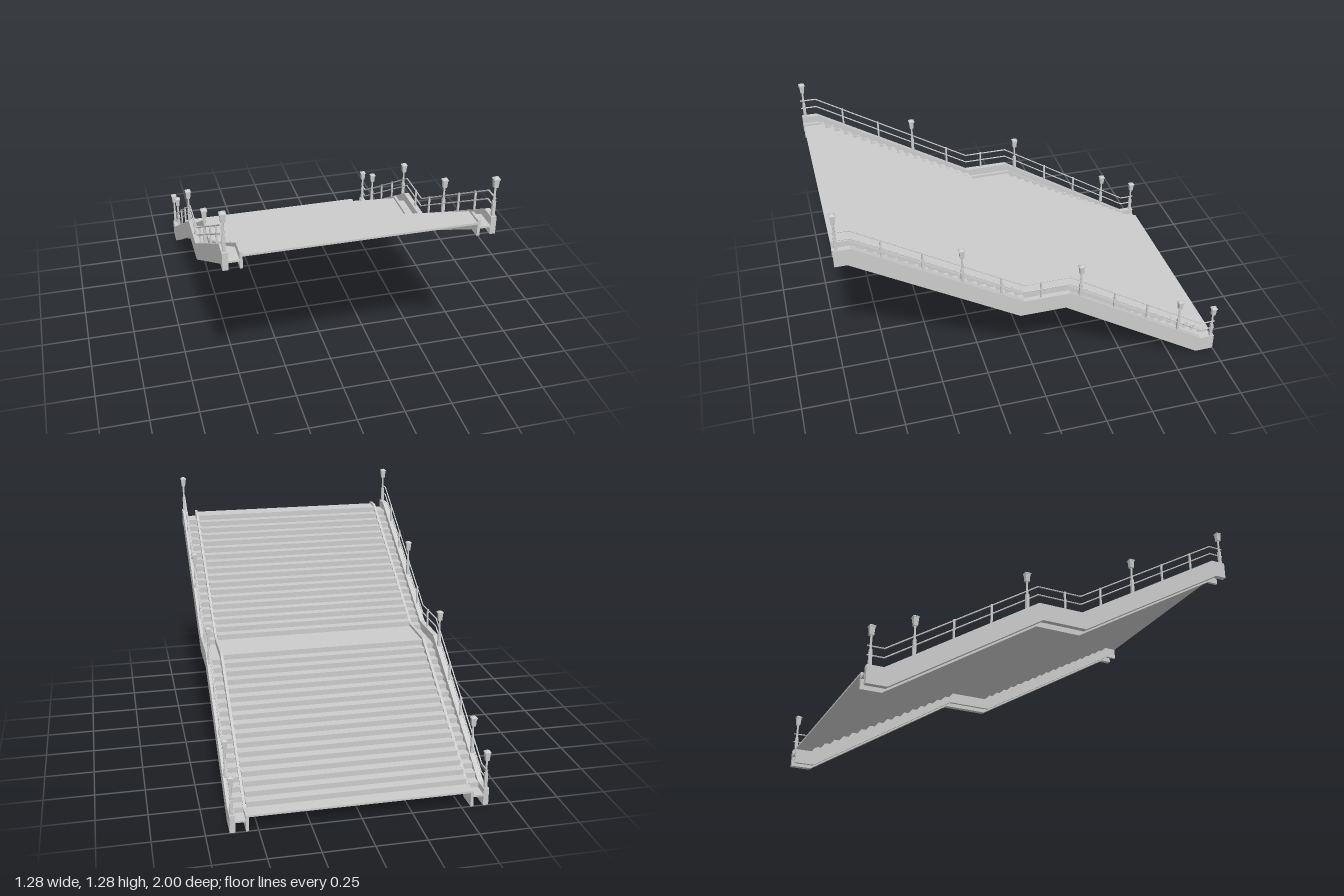
import * as THREE from 'three';

const grey = new THREE.MeshStandardMaterial({ color: 0xcccccc, flatShading: true });

// Top edge of the stringers, as [z, y], from the high front end to the low back end
const TOP = [[1, 1.08], [0.92, 1.08], [0.09, 0.58], [-0.15, 0.58], [-0.92, 0.09], [-1, 0.09]];
const BOTTOM = [[-1, 0], [-0.9, 0], [-0.13, 0.49], [0.11, 0.49], [0.94, 0.99], [1, 0.99]];

function topAt(z) {
  for (let i = 0; i < TOP.length - 1; i++) {
    const [z0, y0] = TOP[i], [z1, y1] = TOP[i + 1];
    if (z <= z0 && z >= z1) return y0 + (y1 - y0) * (z0 - z) / (z0 - z1);
  }
  return TOP[0][1];
}

function add(group, name, geometry, x = 0, y = 0, z = 0) {
  const mesh = new THREE.Mesh(geometry, grey);
  mesh.name = name;
  mesh.position.set(x, y, z);
  group.add(mesh);
  return mesh;
}

// Extrudes a [z, y] outline across the width from x0 to x1
function extrudeAcross(points, x0, x1) {
  const shape = new THREE.Shape(points.map(([z, y]) => new THREE.Vector2(z, y)));
  const geo = new THREE.ExtrudeGeometry(shape, { depth: x1 - x0, bevelEnabled: false });
  return geo.rotateY(-Math.PI / 2).translate(x1, 0, 0);
}

// Folded stair plate: two flights with a landing at the top, middle and bottom
function stairOutline(drop) {
  const riser = 0.0279, thick = 0.01;
  const line = [[1, 1.06 - drop]];
  let y = 1.06 - drop;
  const flight = (zStart, zEnd, risers) => {
    const going = (zStart - zEnd) / (risers - 1);
    for (let i = 0; i < risers; i++) {
      const z = zStart - i * going;
      line.push([z, y]);
      y -= riser;
      line.push([z, y]);
    }
  };
  flight(0.89, 0.08, 18);
  flight(-0.15, -0.925, 17);
  line.push([-1, y]);
  const under = line.map(([z, yy], i) => [
    i === 0 || i === line.length - 1 ? z : z + thick, yy - thick]);
  return [...line, ...under.reverse()];
}

// Straight round bar between two [z, y] points
function bar(group, name, a, b, x, radius) {
  const from = new THREE.Vector3(x, a[1], a[0]), to = new THREE.Vector3(x, b[1], b[0]);
  const dir = to.clone().sub(from);
  const mesh = add(group, name, new THREE.CylinderGeometry(radius, radius, dir.length() + radius, 8));
  mesh.position.copy(from).add(to).multiplyScalar(0.5);
  mesh.quaternion.setFromUnitVectors(new THREE.Vector3(0, 1, 0), dir.normalize());
}

// Post with a square lantern
function lampPost(x, y, z) {
  const lamp = new THREE.Group();
  lamp.name = 'lampPost';
  lamp.position.set(x, y, z);
  add(lamp, 'postBase', new THREE.BoxGeometry(0.015, 0.08, 0.015), 0, 0.04);
  add(lamp, 'postShaft', new THREE.CylinderGeometry(0.005, 0.006, 0.08, 8), 0, 0.115);
  const head = new THREE.CylinderGeometry(0.018, 0.014, 0.042, 4).rotateY(Math.PI / 4);
  add(lamp, 'lantern', head, 0, 0.17);
  add(lamp, 'lanternCap', new THREE.BoxGeometry(0.031, 0.005, 0.031), 0, 0.1925);
  const roof = new THREE.CylinderGeometry(0.008, 0.02, 0.007, 4).rotateY(Math.PI / 4);
  add(lamp, 'lanternRoof', roof, 0, 0.1985);
  return lamp;
}

export function createModel() {
  const model = new THREE.Group();
  model.name = 'outdoorStaircase';

  // Wide flights between the inner stringers
  add(model, 'mainStairs', extrudeAcross(stairOutline(0), -0.547, 0.547));

  for (const s of [-1, 1]) {
    const side = new THREE.Group();
    side.name = s > 0 ? 'leftSide' : 'rightSide';
    model.add(side);
    const strip = (name, outline, a, b) =>
      add(side, name, extrudeAcross(outline, Math.min(s * a, s * b), Math.max(s * a, s * b)));

    // Side beams and the narrow stair strip between them
    strip('outerStringer', [...TOP, ...BOTTOM], 0.61, 0.637);
    strip('innerStringer', [...TOP.map(([z, y]) => [z, y - 0.008]), ...BOTTOM], 0.546, 0.56);
    strip('narrowStairs', stairOutline(0.024), 0.559, 0.611);

    // Handrails following the stringer
    const x = s * 0.624;
    for (const h of [0.05, 0.095]) {
      for (let i = 0; i < TOP.length - 1; i++) {
        const [a, b] = [TOP[i], TOP[i + 1]].map(([z, y]) => [z * 0.998, y + h]);
        bar(side, 'handrail', a, b, x, 0.0035);
      }
    }

    // Plain posts and lamp posts
    for (const z of [0.78, 0.59, 0.205, 0, -0.4, -0.59]) {
      add(side, 'railPost', new THREE.BoxGeometry(0.009, 0.105, 0.009), x, topAt(z) + 0.0475, z);
    }
    for (const z of [0.983, 0.4, -0.21, -0.78, -0.983]) {
      side.add(lampPost(x, topAt(z) - 0.003, z));
    }
  }
  return model;
}
